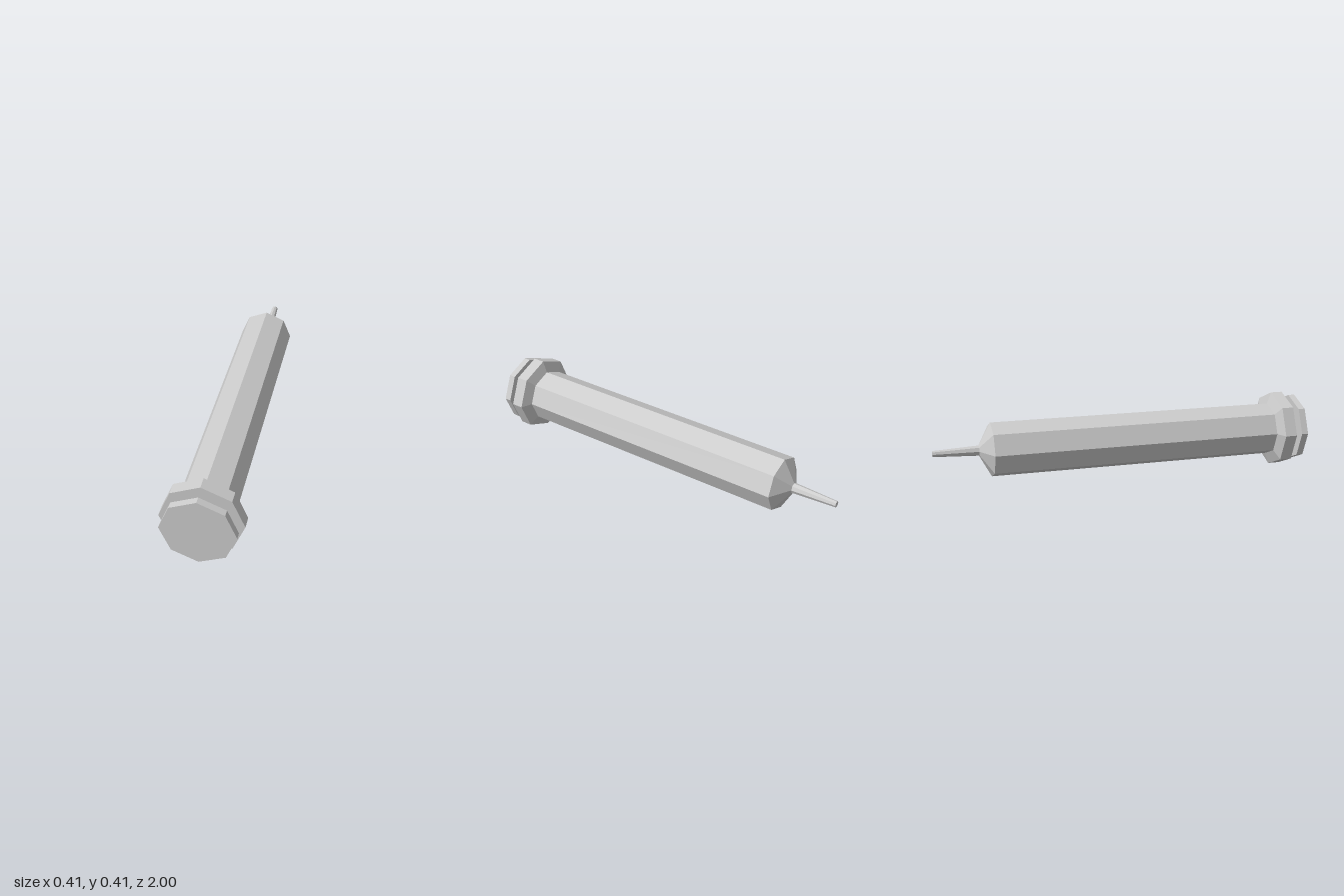
import * as THREE from 'three';

const AXIS_Y = 0.203; // height of the long axis

// Faceted eight-sided solid along z, from [radius, z] pairs running back to front
function octagonal(name, profile, material) {
  const points = profile.map(([r, z]) => new THREE.Vector2(r, z));
  const geometry = new THREE.LatheGeometry(points, 8).rotateX(Math.PI / 2).toNonIndexed();
  geometry.computeVertexNormals();
  const mesh = new THREE.Mesh(geometry, material);
  mesh.name = name;
  mesh.position.y = AXIS_Y;
  return mesh;
}

export function createModel() {
  const group = new THREE.Group();
  group.name = 'syringe';
  const grey = new THREE.MeshStandardMaterial({ color: 0xcccccc });
  grey.name = 'light grey';

  group.add(
    // Tapered needle at the back
    octagonal('needle', [[0, -1], [0.016, -1], [0.027, -0.765], [0, -0.765]], grey),
    // Barrel with its conical shoulder
    octagonal('barrel', [[0, -0.767], [0.027, -0.767], [0.142, -0.705], [0.142, 0.835], [0, 0.835]], grey),
    // Finger flange with a sloped back edge
    octagonal('flange', [[0, 0.835], [0.142, 0.835], [0.203, 0.858], [0.203, 0.922], [0, 0.922]], grey),
    // Plunger rod and thumb plate
    octagonal('plungerRod', [[0, 0.91], [0.04, 0.91], [0.04, 0.97], [0, 0.97]], grey),
    octagonal('thumbPlate', [[0, 0.964], [0.182, 0.964], [0.182, 1], [0, 1]], grey),
  );
  return group;
}
